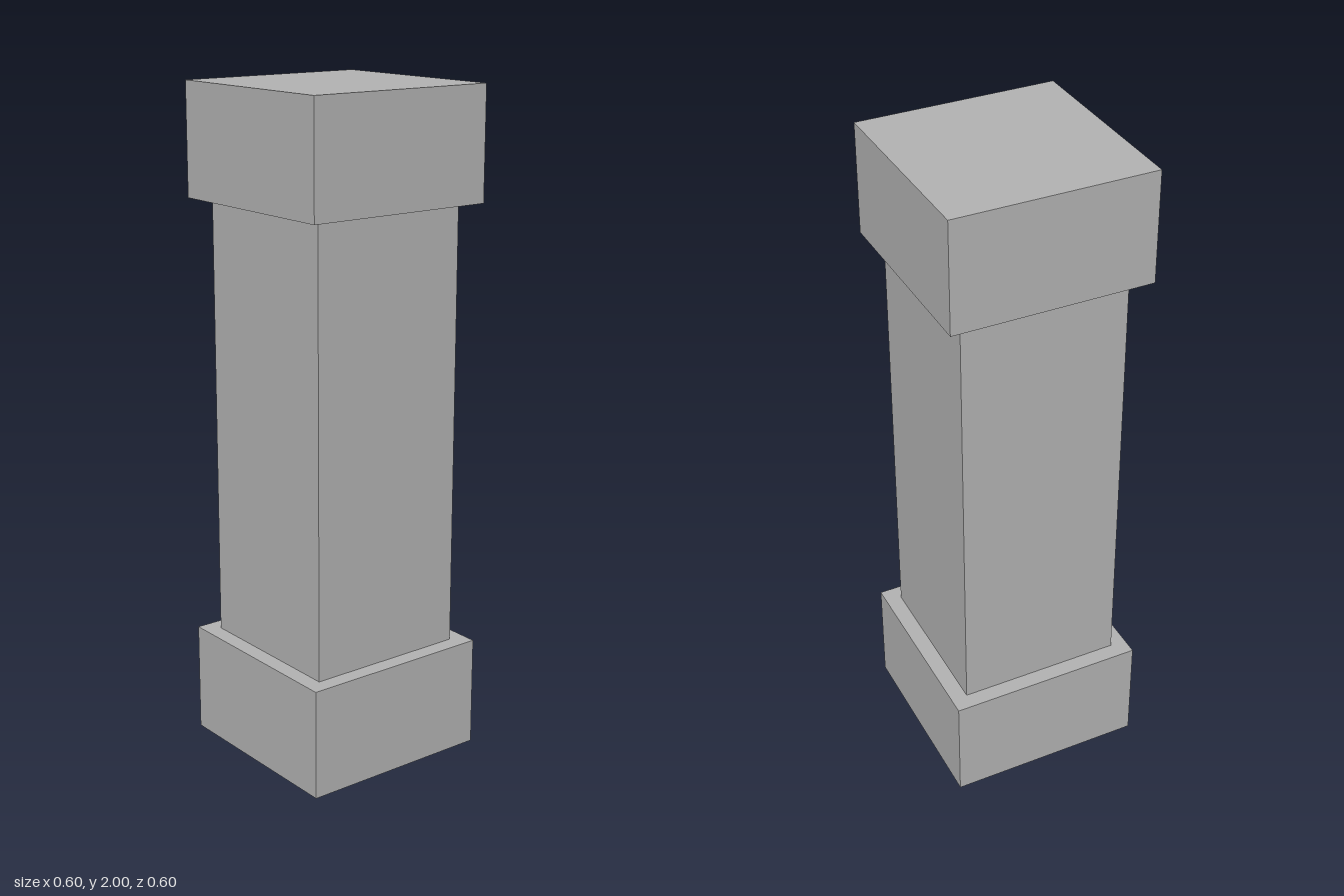
import * as THREE from 'three';

const T = 0.05;          // wall thickness
const WIDE = 0.3;        // half width of base and cap
const NARROW = 0.25;     // half width of shaft
const LOW = 0.334;       // top of base
const HIGH = 1.666;      // underside of cap
const TOP = 2;

export function createModel() {
  const model = new THREE.Group();
  model.name = 'hollowPillar';
  const stone = new THREE.MeshStandardMaterial({ color: 0xb2b2b2 });
  stone.name = 'stoneGrey';

  // Square section swept round y from [halfWidth, height] pairs:
  // profiles running up face outward, running down face inward.
  function square(name, profile) {
    const points = profile.map(([w, y]) => new THREE.Vector2(w * Math.SQRT2, y));
    const geometry = new THREE.LatheGeometry(points, 4, Math.PI / 4).toNonIndexed();
    geometry.computeVertexNormals();
    const mesh = new THREE.Mesh(geometry, stone);
    mesh.name = name;
    model.add(mesh);
  }

  // Base: open below, with a ledge around the shaft's opening
  square('base', [
    [NARROW - T, LOW - T], [WIDE - T, LOW - T], [WIDE - T, 0],
    [WIDE, 0], [WIDE, LOW], [NARROW, LOW],
  ]);

  // Shaft: outer and inner walls
  square('shaftOuter', [[NARROW, LOW], [NARROW, HIGH]]);
  square('shaftInner', [[NARROW - T, HIGH + T], [NARROW - T, LOW - T]]);

  // Cap: closed on top, hollow inside
  square('capOuter', [[NARROW, HIGH], [WIDE, HIGH], [WIDE, TOP], [0, TOP]]);
  square('capInner', [
    [0, TOP - T], [WIDE - T, TOP - T], [WIDE - T, HIGH + T], [NARROW - T, HIGH + T],
  ]);

  return model;
}
